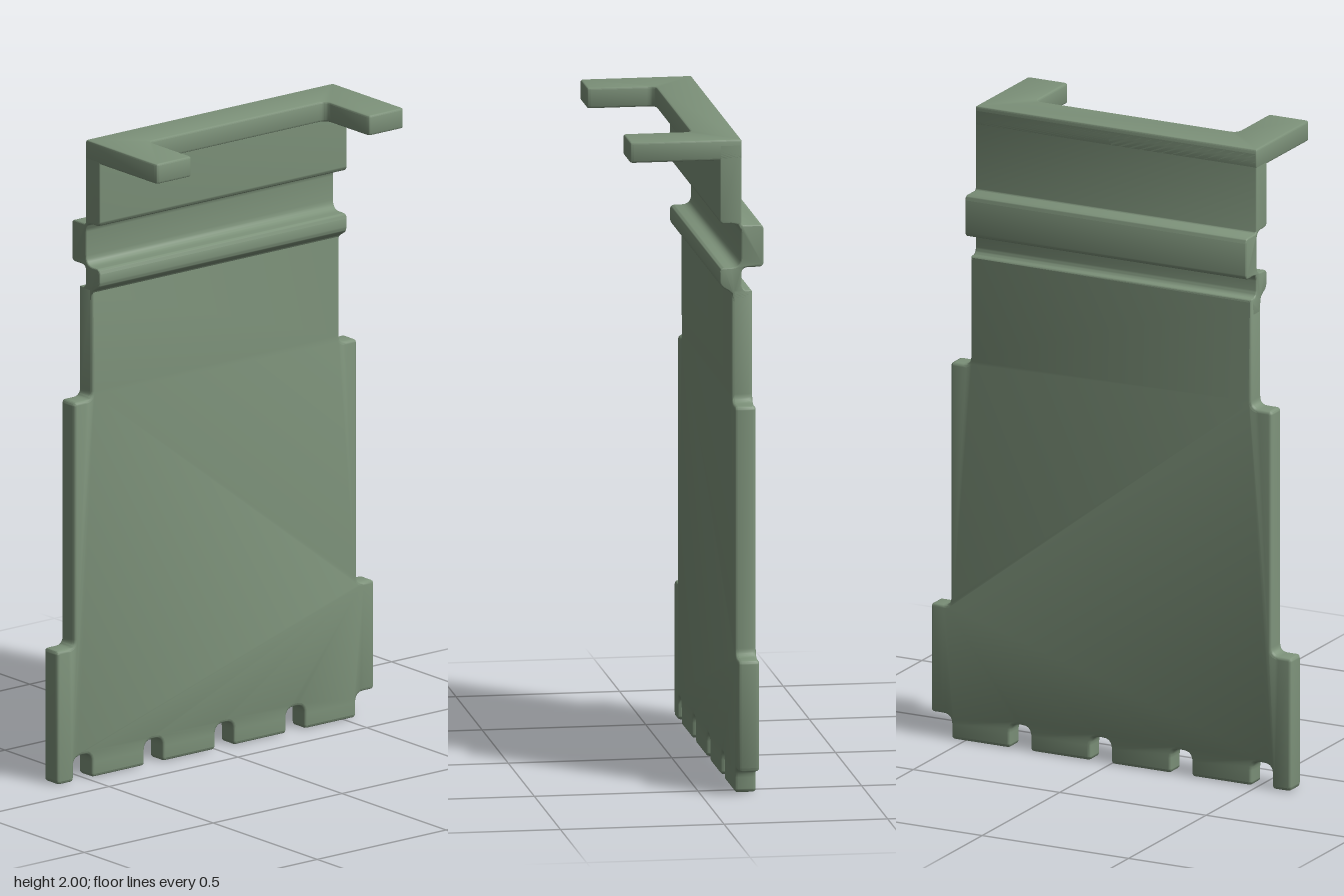
import * as THREE from 'three';
import { toCreasedNormals } from 'three/addons/utils/BufferGeometryUtils.js';

// Closed outline from [x, y, cornerRadius] points
function roundedShape(points) {
  const shape = new THREE.Shape();
  const n = points.length;
  const toward = (a, b, d) => {
    const k = d / Math.hypot(b[0] - a[0], b[1] - a[1]);
    return [a[0] + (b[0] - a[0]) * k, a[1] + (b[1] - a[1]) * k];
  };
  points.forEach((p, i) => {
    const r = p[2] || 0;
    const a = toward(p, points[(i + n - 1) % n], r);
    const b = toward(p, points[(i + 1) % n], r);
    if (i === 0) shape.moveTo(...a); else shape.lineTo(...a);
    if (r > 0) shape.quadraticCurveTo(p[0], p[1], ...b);
  });
  shape.closePath();
  return shape;
}

// Extrusion of exact total depth, centred on z, with softened rims
function slab(points, depth, bevel) {
  const geometry = new THREE.ExtrudeGeometry(roundedShape(points), {
    depth: depth - 2 * bevel, curveSegments: 5,
    bevelEnabled: true, bevelThickness: bevel, bevelSize: bevel,
    bevelOffset: -bevel, bevelSegments: 3,
  });
  geometry.translate(0, 0, bevel - depth / 2);
  return toCreasedNormals(geometry, 0.75);
}

export function createModel() {
  const group = new THREE.Group();
  const sage = new THREE.MeshStandardMaterial({ color: 0x7d927a });
  sage.name = 'sage green';
  const add = (name, geometry) => {
    const mesh = new THREE.Mesh(geometry, sage);
    mesh.name = name;
    group.add(mesh);
    return mesh;
  };

  // Hanging panel: stepped sides, notched lower hem, one cut corner
  const hem = [[-0.615, 0, 0.015]];
  for (let i = 0; i < 4; i++) {
    const x = -0.515 + i * 0.275;
    hem.push([x - 0.035, 0, 0.012], [x - 0.035, 0.077, 0.03],
      [x + 0.035, 0.077, 0.03], [x + 0.035, 0, 0.012]);
  }
  const panel = slab([
    ...hem,
    [0.545, 0, 0.012], [0.545, 0.077, 0.03], [0.615, 0.077, 0.012],
    [0.615, 0.42, 0.012], [0.548, 0.42, 0.025],
    [0.548, 1.19, 0.012], [0.48, 1.19, 0.025],
    [0.48, 1.535, 0.004], [-0.48, 1.535, 0.004],
    [-0.48, 1.19, 0.025], [-0.548, 1.19, 0.012],
    [-0.548, 0.42, 0.025], [-0.615, 0.42, 0.012],
  ], 0.065, 0.01);
  add('panel', panel).position.z = -0.138;

  // Upper back plate with rear band and front ridge, as a (z, y) section
  const folds = slab([
    [-0.137, 1.985, 0], [-0.137, 1.735, 0.008],
    [-0.204, 1.735, 0.015], [-0.204, 1.605, 0.015],
    [-0.137, 1.605, 0.02], [-0.137, 1.54, 0.015], [-0.165, 1.527, 0.01],
    [-0.16, 1.48, 0], [-0.115, 1.48, 0], [-0.107, 1.527, 0.01],
    [-0.07, 1.55, 0.015], [-0.07, 1.605, 0.015],
    [-0.135, 1.605, 0.03], [-0.135, 1.74, 0.03],
    [-0.07, 1.74, 0.015], [-0.07, 1.985, 0],
  ], 0.96, 0.004);
  folds.rotateY(-Math.PI / 2);
  add('foldedBackPlate', folds);

  // Shoulder yoke with two forward arms, outlined in plan (x, z)
  const yoke = slab([
    [-0.48, -0.137, 0.004], [0.48, -0.137, 0.004],
    [0.48, 0.204, 0.012], [0.343, 0.204, 0.012],
    [0.343, -0.004, 0.025], [-0.343, -0.004, 0.025],
    [-0.343, 0.204, 0.012], [-0.48, 0.204, 0.012],
  ], 0.063, 0.006);
  yoke.rotateX(Math.PI / 2);
  add('shoulderYoke', yoke).position.y = 1.9685;

  return group;
}
